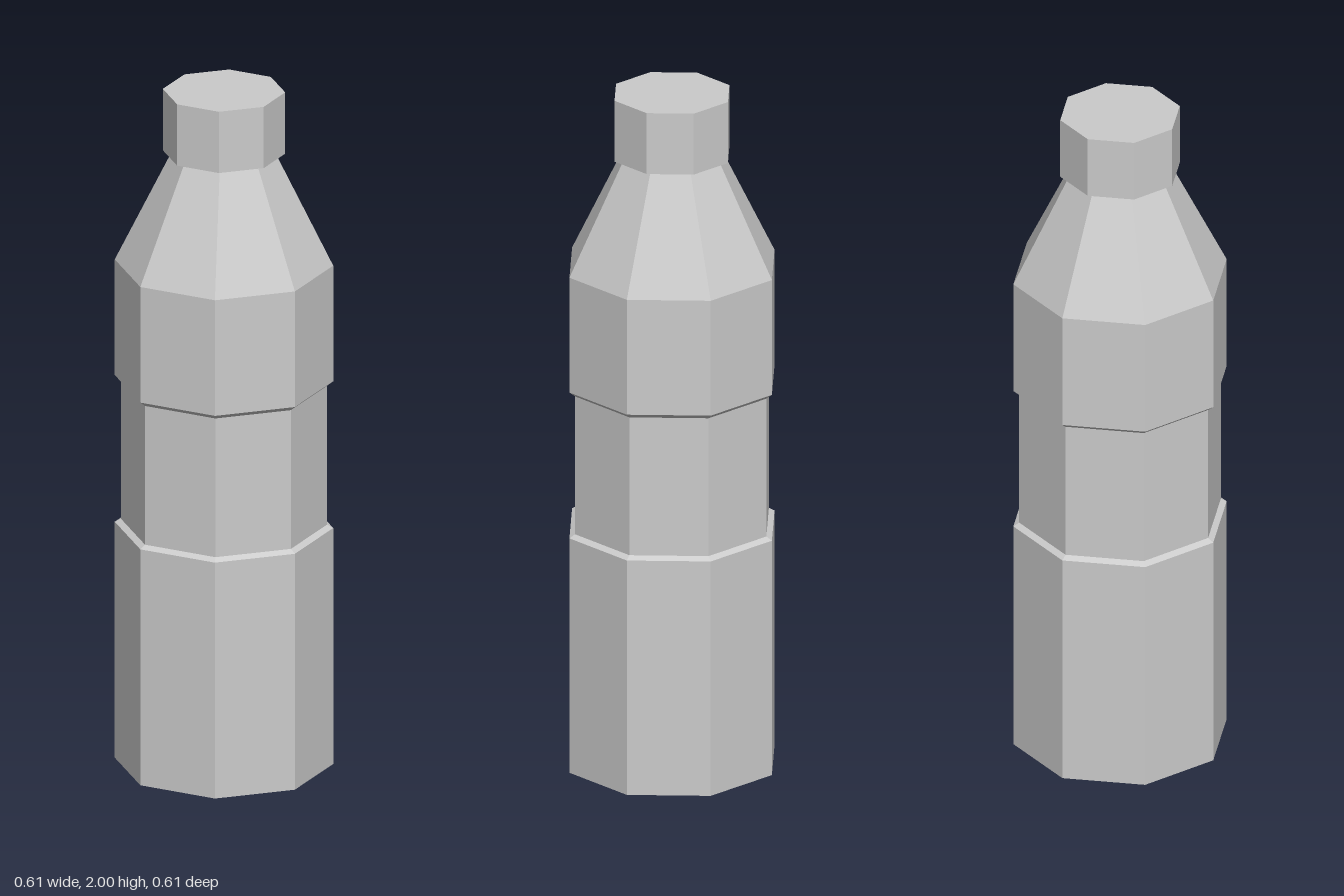
import * as THREE from 'three';

const SIDES = 8;

// Faceted solid of revolution from [radius, height] pairs, bottom to top
function turned(name, profile, material) {
  const points = profile.map(([r, y]) => new THREE.Vector2(r, y));
  const mesh = new THREE.Mesh(new THREE.LatheGeometry(points, SIDES), material);
  mesh.name = name;
  return mesh;
}

export function createModel() {
  const group = new THREE.Group();
  group.name = 'bottle';
  const material = new THREE.MeshStandardMaterial({ color: 0xcccccc, flatShading: true });

  // Body: base, recessed label band, upper body and tapering shoulder
  group.add(turned('body', [
    [0, 0], [0.307, 0],
    [0.307, 0.704], [0.29, 0.714],
    [0.29, 1.128], [0.307, 1.142],
    [0.307, 1.487], [0.145, 1.817],
  ], material));

  // Screw cap, wider than the neck
  group.add(turned('cap', [
    [0, 1.817], [0.172, 1.817], [0.172, 2], [0, 2],
  ], material));

  return group;
}
